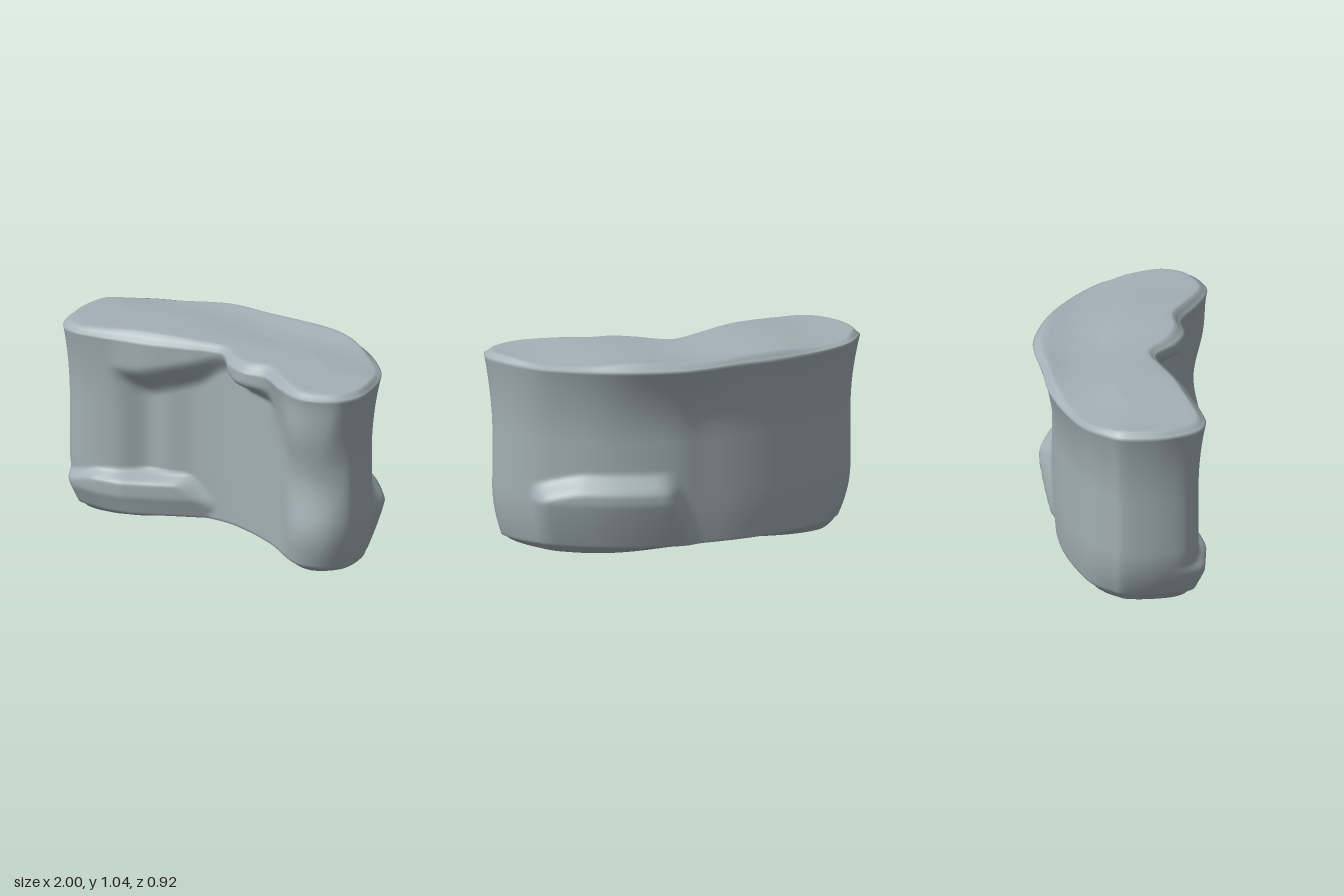
import * as THREE from 'three';

// Kidney outlines as [x, z], running from the -x end along the back and returning along the front
const RIM = [[-1, .05], [-.96, -.05], [-.85, -.18], [-.65, -.29], [-.42, -.37], [-.2, -.405], [0, -.45], [.17, -.46],
  [.4, -.41], [.6, -.32], [.8, -.18], [.9, -.06], [.97, .08], [1, .2], [.96, .32], [.85, .4], [.74, .42], [.58, .37],
  [.42, .3], [.28, .32], [.15, .28], [0, .18], [-.18, .25], [-.35, .33], [-.5, .38], [-.65, .43], [-.8, .46],
  [-.9, .41], [-.98, .25]];
const WAIST = [[-.95, .05], [-.91, -.03], [-.81, -.14], [-.62, -.23], [-.41, -.3], [-.2, -.34], [0, -.355], [.17, -.36],
  [.39, -.32], [.58, -.25], [.77, -.13], [.87, -.03], [.93, .08], [.96, .2], [.92, .28], [.83, .34], [.73, .35], [.58, .3],
  [.43, .23], [.28, .18], [.15, .15], [0, .13], [-.19, .155], [-.33, .22], [-.45, .26], [-.57, .37], [-.75, .42],
  [-.88, .38], [-.94, .23]];

const { smoothstep: step, lerp, clamp } = THREE.MathUtils;
const loop = pts => new THREE.CatmullRomCurve3(pts.map(([x, z]) => new THREE.Vector3(x, 0, z)), true, 'catmullrom', 0.5);
const rimCurve = loop(RIM), waistCurve = loop(WAIST);

// Point on the side wall at loop position t and height y
function wallPoint(t, y) {
  const top = rimCurve.getPoint(t), p = waistCurve.getPoint(t), tan = waistCurve.getTangent(t);
  const x0 = p.x, front = tan.x < -0.3;

  // rim flare: gradual around the back and ends, a sharper overhang in the front hollow
  const gradual = Math.pow(clamp((y - .6) / .4, 0, 1), 2);
  const edge = x0 < 0 ? lerp(.93, .79, clamp(-x0 / .4, 0, 1)) : lerp(.93, .87, clamp(x0 / .2, 0, 1));
  const soft = .05 + .06 * step(-x0, 0, .2);
  const hollow = front ? step(x0, -.62, -.45) * (1 - step(x0, .36, .5)) : 0;
  p.lerp(top, lerp(gradual, step(y, edge - soft, edge + .07), hollow));

  // swelling above and below the middle of the +x lobe
  p.z += .018 * (1 - Math.cos((y - .5) * 11.4)) * step(x0, .5, .7) * step(p.z, .2, .32);

  // raised pad low on the back, on the +x side
  const padStart = lerp(-.02, .14, clamp(y / .4, 0, 1));
  const pad = tan.x > 0 ? step(x0, padStart, padStart + .12) * (1 - step(p.z, -.14, -.04)) : 0;
  const padTop = .43 - .06 * step(x0, .6, .88);
  const out = .08 * pad * clamp((y + .04) / .33, 0, 1) * (1 - step(y, padTop - .1, padTop + .02));
  p.x += tan.z * out;
  p.z -= tan.x * out;

  // ledge low on the front, on the -x side
  if (front && x0 < 0) {
    const ledgeZ = x0 < -.5 ? lerp(.42, .46, clamp((-.5 - x0) / .15, 0, 1)) : lerp(.13, .42, clamp((-.06 - x0) / .44, 0, 1));
    const ledgeTop = .25 - .05 * step(-x0, .6, .9) - .16 * (1 - step(-x0, .04, .26));
    const amount = (1 - step(y, ledgeTop - .03, ledgeTop + .03)) * (1 - step(-x0, .8, .94));
    p.z += Math.max(0, ledgeZ - .04 * clamp((.15 - y) / .1, 0, 1) - p.z) * amount;
  }

  // narrowing toward the base
  const low = Math.pow(clamp((.32 - y) / .3, 0, 1), 2);
  p.x *= 1 - (x0 < 0 ? .09 : .06) * low;
  p.z *= 1 - .04 * low;
  p.y = y;
  return p;
}

// Pull a wall point toward the arched centre line to form a cap
function capPoint(t, y, k, isTop) {
  const p = wallPoint(t, y);
  const sx = clamp(p.x, -.72, .72), sz = -.13 + .45 * sx * sx;
  const x = lerp(p.x, sx, k), z = lerp(p.z, sz, k);
  const face = isTop
    ? 1.038 + .01 * Math.cos(7.5 * (x + .4)) - .018 * step(-z, -.05, .2) + .02 * step(-z, .25, .42)
    : .021 + .018 * Math.cos(5 * (x + .1)) + .05 * Math.max(0, -z - .1);
  const dome = step(k, 0, isTop ? .14 : .25);
  return new THREE.Vector3(x, lerp(y, face, dome), z);
}

function bodyGeometry() {
  const N = 232, rows = 70, rings = [];
  const ring = fn => rings.push(Array.from({ length: N }, (_, i) => fn(i / N)));
  for (const k of [1, .7, .4, .25, .16, .08, .03]) ring(t => capPoint(t, .05, k, false));
  for (let j = 0; j <= rows; j++) ring(t => wallPoint(t, lerp(.05, 1, j / rows)));
  for (const k of [.03, .07, .11, .15, .25, .45, .7, 1]) ring(t => capPoint(t, 1, k, true));

  const pos = [], index = [];
  for (const r of rings) for (const p of r) pos.push(p.x, p.y, p.z);
  for (let j = 0; j < rings.length - 1; j++) {
    for (let i = 0; i < N; i++) {
      const a = j * N + i, b = j * N + (i + 1) % N, c = a + N, d = b + N;
      index.push(a, c, b, b, c, d);
    }
  }
  const g = new THREE.BufferGeometry();
  g.setAttribute('position', new THREE.Float32BufferAttribute(pos, 3));
  g.setIndex(index);
  g.computeVertexNormals();
  return g;
}

export function createModel() {
  const group = new THREE.Group();
  group.name = 'curvedBlock';
  const stone = new THREE.MeshStandardMaterial({ color: 0xa3b0b5 });
  stone.name = 'blueGrey';
  const body = new THREE.Mesh(bodyGeometry(), stone);
  body.name = 'body';
  group.add(body);
  return group;
}
